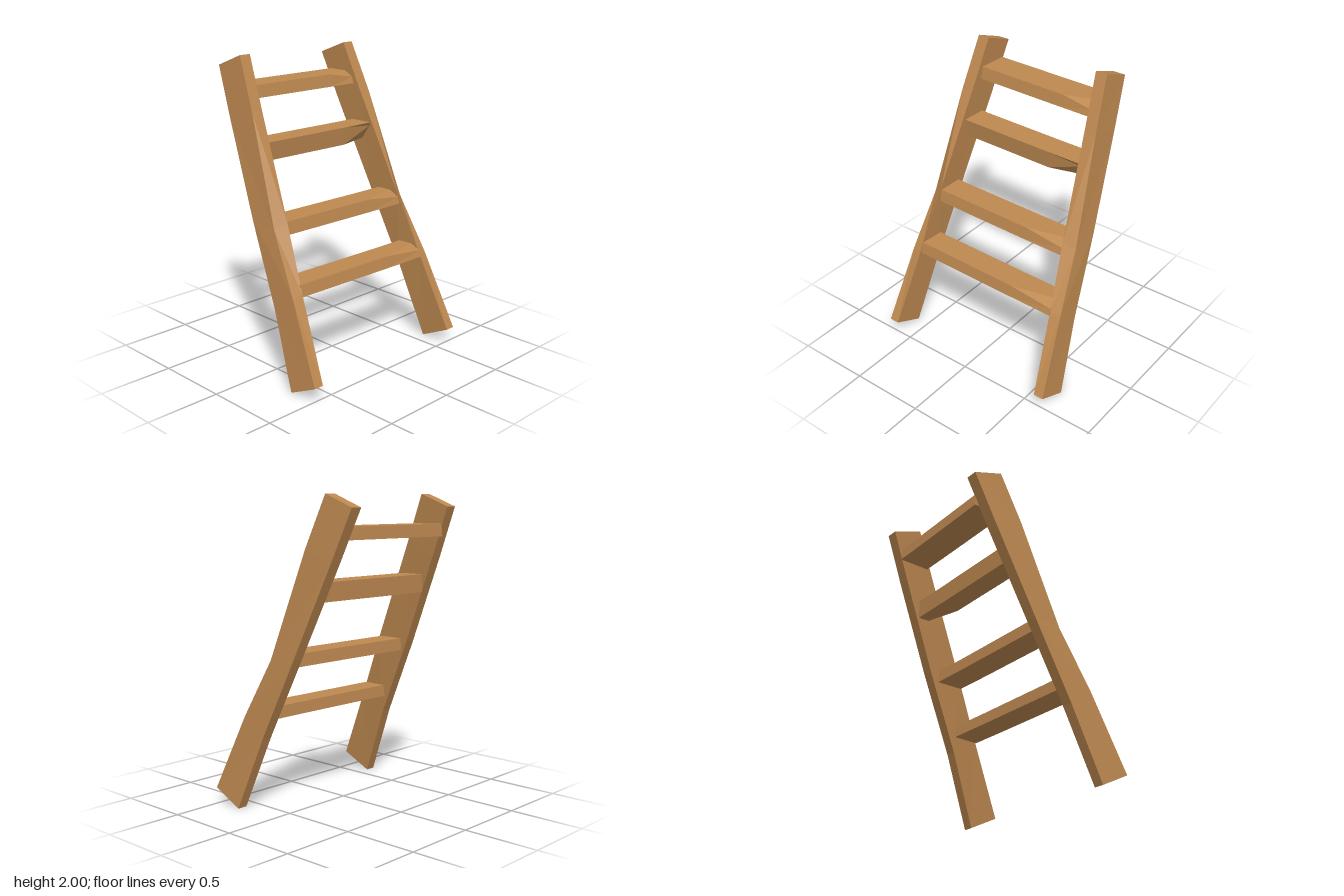
import * as THREE from 'three';

const wood = new THREE.MeshStandardMaterial({ color: 0xbd8850, flatShading: true });

// Skin a row of equal-length rings with quads and close both ends; faces point outwards.
function loft(rings) {
  const tris = [];
  const n = rings[0].length;
  for (let r = 0; r < rings.length - 1; r++) {
    for (let i = 0; i < n; i++) {
      const j = (i + 1) % n;
      const a = rings[r][i], b = rings[r][j], c = rings[r + 1][j], d = rings[r + 1][i];
      tris.push([a, b, c], [a, c, d]);
    }
  }
  const last = rings[rings.length - 1];
  for (let i = 1; i < n - 1; i++) {
    tris.push([rings[0][0], rings[0][i + 1], rings[0][i]]);
    tris.push([last[0], last[i], last[i + 1]]);
  }
  // A negative enclosed volume means the winding is inside out.
  const v = (p) => new THREE.Vector3(...p);
  const volume = tris.reduce((s, [a, b, c]) => s + v(a).dot(v(b).cross(v(c))), 0);
  if (volume < 0) tris.forEach((t) => t.reverse());

  const geometry = new THREE.BufferGeometry();
  geometry.setAttribute('position', new THREE.Float32BufferAttribute(tris.flat(2), 3));
  geometry.computeVertexNormals();
  return geometry;
}

// Leaning, splayed side rail; side is +1 (front) or -1 (back).
// Stations: lower edge, upper edge outside, upper edge inside (x, y), then outer and inner z.
const railStations = [
  [[-0.52, 1.92], [-0.31, 2.0], [-0.31, 2.0], 0.49, 0.41],
  [[-0.385, 1.6], [-0.17, 1.67], [-0.17, 1.67], 0.52, 0.44],
  [[-0.12, 1.0], [0.08, 0.98], [0.118, 1.02], 0.575, 0.5],
  [[0.12, 0.48], [0.285, 0.6], [0.295, 0.61], 0.615, 0.543],
  [[0.31, 0.0], [0.52, 0.1], [0.52, 0.1], 0.658, 0.59],
];
function railGeometry(side) {
  return loft(railStations.map(([low, upOut, upIn, zOut, zIn]) => [
    [...low, side * zOut],
    [...upOut, side * zOut],
    [...upIn, side * zIn],
    [...low, side * zIn],
  ]));
}

// Rough-cut rung with a long chip on one +x corner near the back end.
function rungGeometry({ x0, x1, y0, y1, half, chipBelow }) {
  const yChip = chipBelow ? y0 : y1;
  const yFull = chipBelow ? y1 : y0;
  const ring = (z, yaw, cutX, cutY) => {
    const right = x1 + yaw;
    const topRight = right - 0.015;
    return [
      [x0 + yaw, yFull, z],
      [right, yFull, z],
      [topRight, yChip + (yFull - yChip) * cutY, z],
      [topRight - cutX, yChip, z],
      [x0 + yaw + 0.005, yChip, z],
    ];
  };
  return loft([
    ring(half, 0, 0, 0),
    ring(-0.22, 0.018, 0, 0),
    ring(-half, 0.022, 0.07, chipBelow ? 0.8 : 0.45),
  ]);
}

const rungs = [
  { x0: -0.47, x1: -0.25, y0: 1.73, y1: 1.81, half: 0.427 },
  { x0: -0.285, x1: -0.115, y0: 1.355, y1: 1.475, half: 0.465, chipBelow: true },
  { x0: -0.075, x1: 0.118, y0: 0.94, y1: 1.022, half: 0.503 },
  { x0: 0.1, x1: 0.288, y0: 0.59, y1: 0.668, half: 0.543 },
];

export function createModel() {
  const model = new THREE.Group();
  model.name = 'ladder';
  const add = (name, geometry) => {
    const mesh = new THREE.Mesh(geometry, wood);
    mesh.name = name;
    model.add(mesh);
  };
  add('frontRail', railGeometry(1));
  add('backRail', railGeometry(-1));
  rungs.forEach((rung, i) => add(`rung${i + 1}`, rungGeometry(rung)));
  return model;
}
